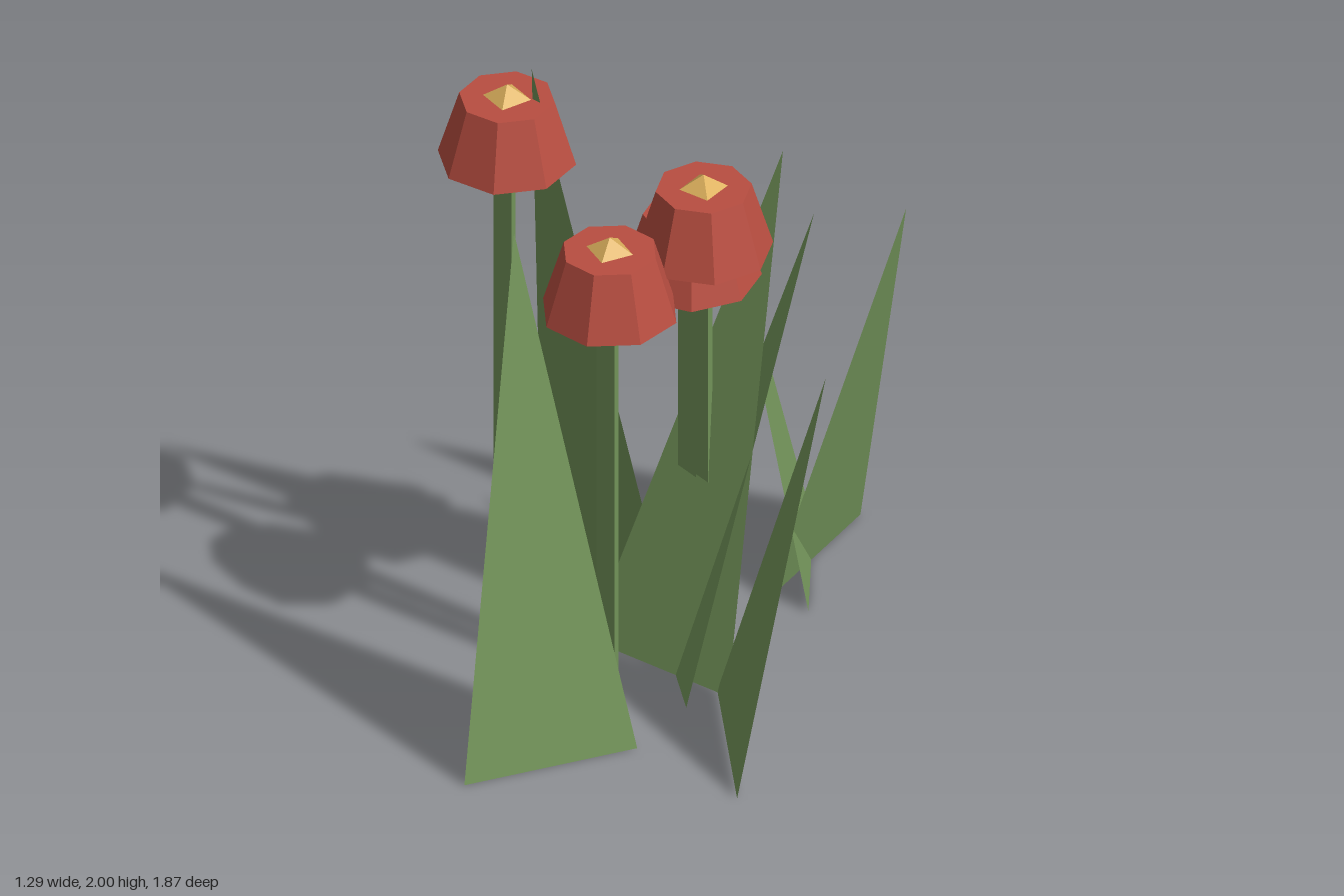
import * as THREE from 'three';

const leafGreen = new THREE.MeshStandardMaterial({ color: 0x76985c, side: THREE.DoubleSide, flatShading: true });
leafGreen.name = 'leaf green';
const petalRed = new THREE.MeshStandardMaterial({ color: 0xb94e41, flatShading: true });
petalRed.name = 'petal red';
const pollenGold = new THREE.MeshStandardMaterial({ color: 0xdcb05c, flatShading: true });
pollenGold.name = 'pollen gold';

function addMesh(parent, name, geometry, material, y = 0, turn = 0) {
  const mesh = new THREE.Mesh(geometry, material);
  mesh.name = name;
  mesh.position.y = y;
  mesh.rotation.y = turn;
  parent.add(mesh);
  return mesh;
}

// Flat triangular blade: two ground corners (x, z) and a tip (x, y, z)
function addBlade(parent, name, [ax, az], [bx, bz], tip) {
  const geometry = new THREE.BufferGeometry();
  geometry.setAttribute('position', new THREE.Float32BufferAttribute([ax, 0, az, bx, 0, bz, ...tip], 3));
  geometry.computeVertexNormals();
  addMesh(parent, name, geometry, leafGreen);
}

// Three-sided stem, eight-sided bell of petals and a four-sided gold centre
function addFlower(parent, name, x, z, top, degrees) {
  const flower = new THREE.Group();
  flower.name = name;
  flower.position.set(x, 0, z);
  const bellHeight = 0.21;
  const stemHeight = top - bellHeight + 0.02;
  const turn = THREE.MathUtils.degToRad(-degrees);
  addMesh(flower, 'stem', new THREE.CylinderGeometry(0.04, 0.04, stemHeight, 3), leafGreen, stemHeight / 2, Math.PI);
  addMesh(flower, 'petals', new THREE.CylinderGeometry(0.143, 0.207, bellHeight, 8), petalRed, top - bellHeight / 2, turn);
  addMesh(flower, 'flowerCentre', new THREE.ConeGeometry(0.072, 0.045, 4), pollenGold, top + 0.0225, turn + Math.PI / 4);
  parent.add(flower);
}

export function createModel() {
  const model = new THREE.Group();
  model.name = 'flowerClump';

  // Flowers: x, z, top of the bell, turn
  addFlower(model, 'tallLeftFlower', -0.448, 0.225, 1.88, 16);
  addFlower(model, 'frontFlower', -0.012, 0.275, 1.55, 24);
  addFlower(model, 'centreFlower', 0.05, -0.08, 1.62, -4);
  addFlower(model, 'lowCentreFlower', 0.005, -0.078, 1.51, 5);

  // Grass blades
  addBlade(model, 'frontBlade', [-0.02, 0.93], [0.24, 0.45], [-0.14, 1.7, 0.56]);
  addBlade(model, 'leftSideBlade', [0.64, 0.47], [0.22, 0.06], [0.64, 1.27, 0.065]);
  addBlade(model, 'backBlade', [-0.07, -0.94], [0.02, -0.4], [0.29, 1.33, -0.72]);
  addBlade(model, 'backCrossingBlade', [-0.15, -0.82], [0.15, -0.44], [-0.21, 1.35, -0.46]);
  addBlade(model, 'tallBlade', [-0.615, -0.14], [-0.1, -0.12], [-0.37, 2, 0.205]);
  addBlade(model, 'rightSideBlade', [-0.61, -0.33], [-0.26, 0.02], [-0.54, 1.63, 0.02]);
  addBlade(model, 'centreBlade', [-0.25, 0.09], [0.265, 0.065], [0.17, 1.69, -0.3]);
  addBlade(model, 'centreCrossingBlade', [0.21, 0.19], [-0.17, -0.13], [0.23, 1.46, -0.37]);

  return model;
}
